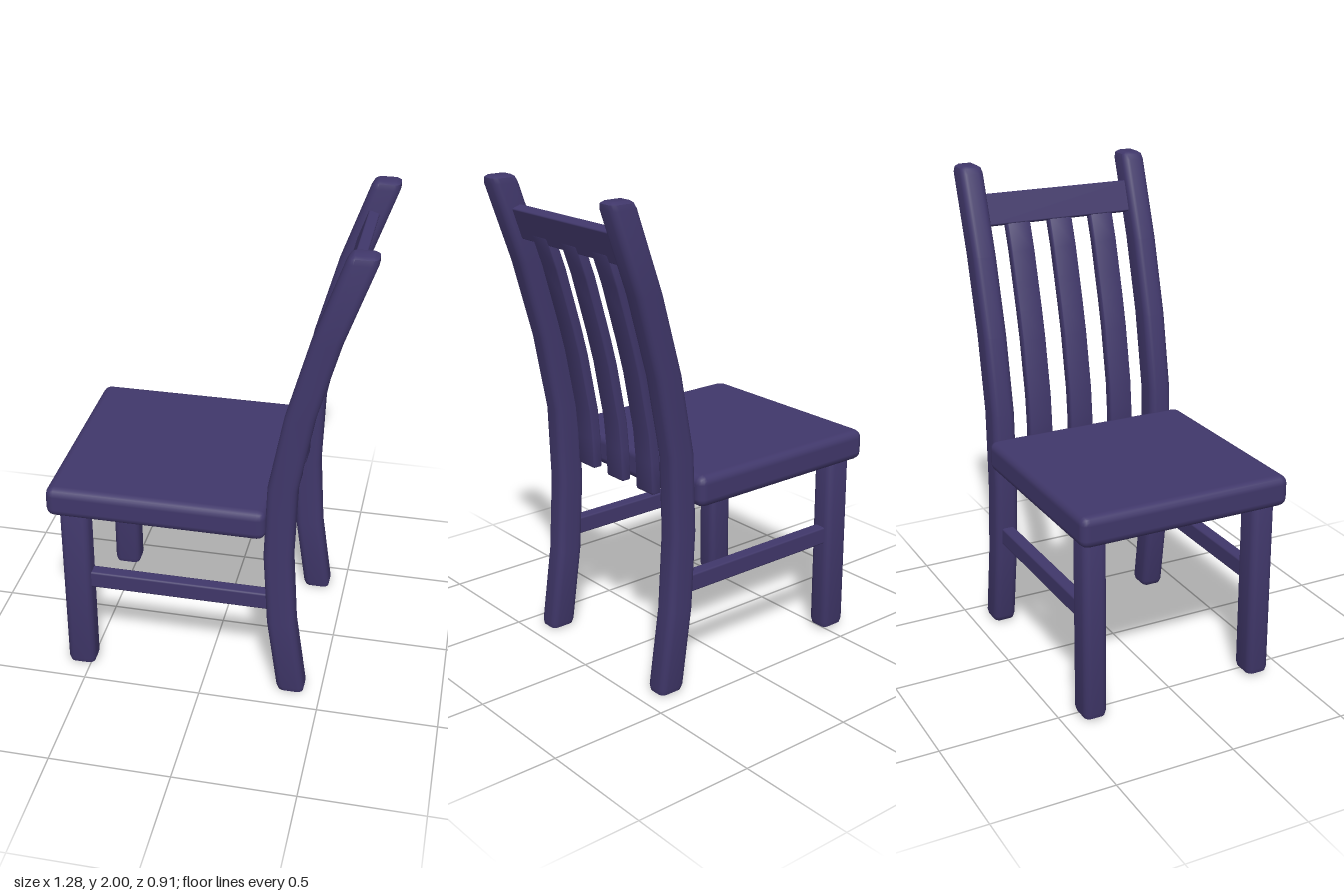
import * as THREE from 'three';
import { mergeVertices, toCreasedNormals } from 'three/addons/utils/BufferGeometryUtils.js';
import { RoundedBoxGeometry } from 'three/addons/geometries/RoundedBoxGeometry.js';

const wood = new THREE.MeshStandardMaterial({ color: 0x40376a });
wood.name = 'dark violet paint';

// Side profile of the back: centreline x at evenly spaced heights
const levels = [0.03, 0.353, 0.677, 1.0, 1.323, 1.647, 1.97];
const centre = [0.372, 0.326, 0.307, 0.318, 0.378, 0.467, 0.58];

function backX(y) {
  const t = (y - levels[0]) / (levels[6] - levels[0]) * 6;
  const i = Math.min(5, Math.max(0, Math.floor(t)));
  return centre[i] + (centre[i + 1] - centre[i]) * Math.min(1.05, Math.max(-0.05, t - i));
}

// Upright bar with bevelled edges, running from y0 to y1
function bar(w, d, y0, y1, bevel, steps) {
  const c = bevel, x = w / 2 - c, z = d / 2 - c;
  const s = new THREE.Shape();
  s.moveTo(-x, -z - 0.0);
  s.lineTo(x, -z);
  s.absarc(x, -z + c * 0.3, c * 0.3, -Math.PI / 2, 0);
  s.absarc(x, z - c * 0.3, c * 0.3, 0, Math.PI / 2);
  s.absarc(-x, z - c * 0.3, c * 0.3, Math.PI / 2, Math.PI);
  s.absarc(-x, -z + c * 0.3, c * 0.3, Math.PI, Math.PI * 1.5);
  const g = new THREE.ExtrudeGeometry(s, {
    depth: y1 - y0 - 2 * c, steps, curveSegments: 2,
    bevelEnabled: true, bevelThickness: c, bevelSize: c * 0.7, bevelSegments: 2,
  });
  g.rotateX(-Math.PI / 2);
  g.translate(0, y0 + c, 0);
  return g;
}

// Bend an upright bar along the back profile
function bend(g) {
  const p = g.attributes.position;
  for (let i = 0; i < p.count; i++) p.setX(i, p.getX(i) + backX(p.getY(i)));
  return g;
}

function smooth(g) {
  g.deleteAttribute('uv');
  g.deleteAttribute('normal');
  return toCreasedNormals(mergeVertices(g, 1e-4), 0.75);
}

export function createModel() {
  const chair = new THREE.Group();
  chair.name = 'chair';
  const add = (name, geometry, x = 0, y = 0, z = 0) => {
    const m = new THREE.Mesh(geometry, wood);
    m.name = name;
    m.position.set(x, y, z);
    chair.add(m);
    return m;
  };

  // Seat
  add('seat', new RoundedBoxGeometry(0.9, 0.13, 0.91, 2, 0.035), -0.19, 0.84, 0);

  // Legs, back posts and side stretchers, mirrored in z
  const post = smooth(bend(bar(0.118, 0.118, 0, 2, 0.03, 6)));
  const leg = smooth(bar(0.118, 0.118, 0.005, 0.8, 0.03, 1));
  for (const side of [-1, 1]) {
    add('backPost', post, 0, 0, side * 0.375);
    add('frontLeg', leg, -0.535, 0, side * 0.375);
    add('sideStretcher', new RoundedBoxGeometry(0.84, 0.075, 0.055, 1, 0.008), -0.11, 0.447, side * 0.375);
  }

  // Top rail, tilted with the back
  const rail = add('topRail', new RoundedBoxGeometry(0.045, 0.133, 0.66, 1, 0.006), 0.523, 1.815, 0);
  rail.rotation.z = -0.33;

  // Curved slats
  const slat = smooth(bend(bar(0.045, 0.112, 0.79, 1.78, 0.01, 8)));
  for (const z of [-0.193, 0, 0.193]) add('backSlat', slat, 0, 0, z);

  return chair;
}
